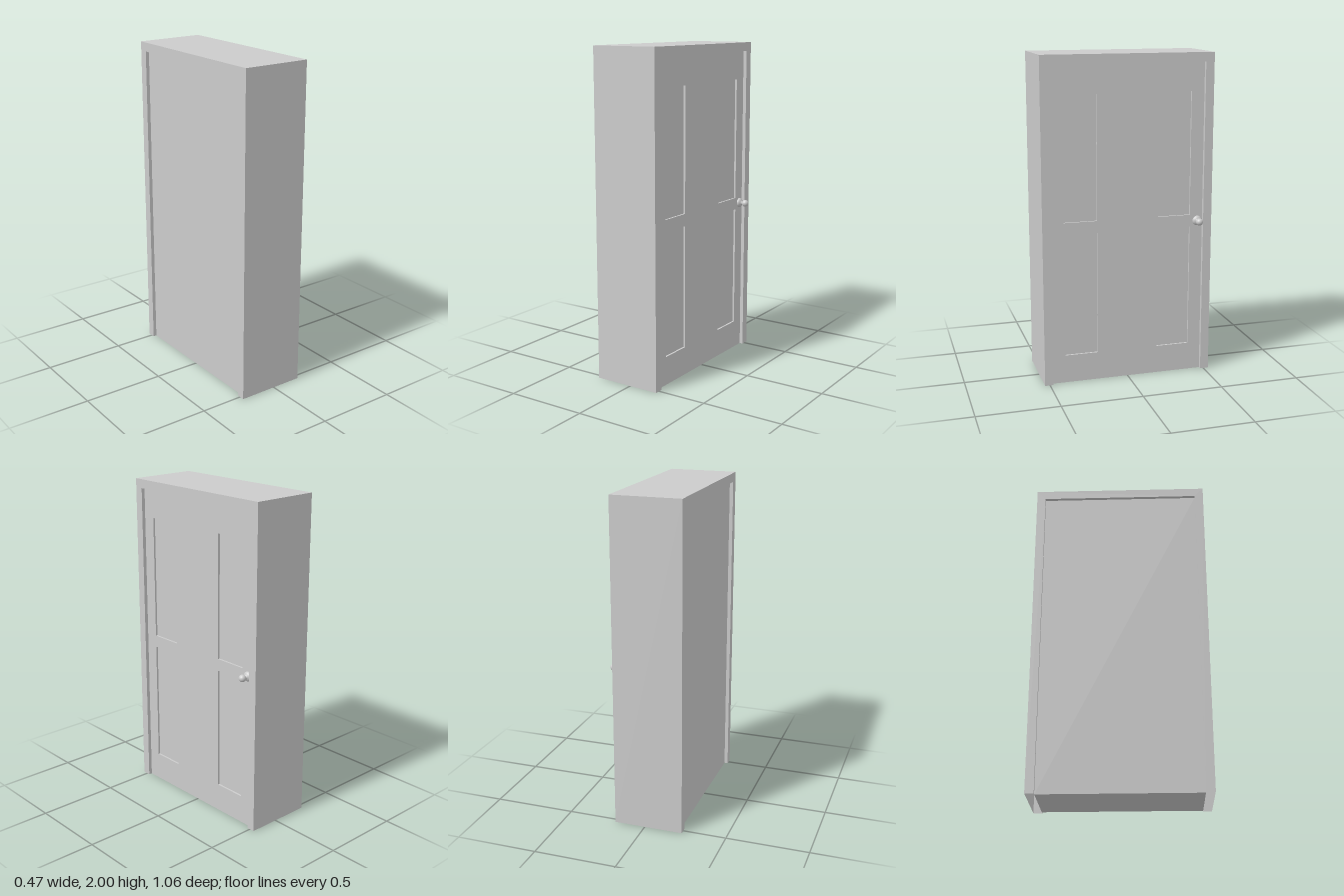
import * as THREE from 'three';

const grey = new THREE.MeshStandardMaterial({ color: 0xcccccc });
const thin = new THREE.MeshStandardMaterial({ color: 0xcccccc, side: THREE.DoubleSide, flatShading: true });

// Main dimensions
const BACK = -0.235, FRONT = 0.19;         // frame faces along x
const HALF = 0.531, INNER = 0.478;         // outer and inner half width along z
const TOP = 2, INNER_TOP = 1.945;
const RECESS = 0.022, PANEL_DEPTH = 0.012;
const DOOR_BACK = BACK + RECESS, DOOR_FRONT = FRONT - RECESS;

function part(name, geometry, material = grey) {
  const mesh = new THREE.Mesh(geometry, material);
  mesh.name = name;
  return mesh;
}

// Rectangular section swept up, across and down, with mitred corners and open feet
function frameGeometry() {
  const stations = [[1, 0, 0], [1, TOP, INNER_TOP], [-1, TOP, INNER_TOP], [-1, 0, 0]];
  const rings = stations.map(([s, outerY, innerY]) => [
    [BACK, outerY, s * HALF],
    [FRONT, outerY, s * HALF],
    [FRONT, innerY, s * INNER],
    [BACK, innerY, s * INNER],
  ]);
  const pos = [];
  for (let i = 0; i < 3; i++) {
    for (let j = 0; j < 4; j++) {
      const k = (j + 1) % 4;
      const a = rings[i][j], b = rings[i][k], c = rings[i + 1][k], d = rings[i + 1][j];
      pos.push(...a, ...b, ...c, ...a, ...c, ...d);
    }
  }
  const g = new THREE.BufferGeometry();
  g.setAttribute('position', new THREE.Float32BufferAttribute(pos, 3));
  g.computeVertexNormals();
  return g;
}

function rectangle(target, x0, y0, x1, y1) {
  target.moveTo(x0, y0);
  target.lineTo(x1, y0);
  target.lineTo(x1, y1);
  target.lineTo(x0, y1);
  target.closePath();
  return target;
}

export function createModel() {
  const group = new THREE.Group();
  group.name = 'door';

  group.add(part('doorFrame', frameGeometry(), thin));

  // Door body, flat on the back
  const coreFront = DOOR_FRONT - PANEL_DEPTH;
  const core = part('doorCore', new THREE.BoxGeometry(coreFront - DOOR_BACK, INNER_TOP, INNER * 2));
  core.position.set((coreFront + DOOR_BACK) / 2, INNER_TOP / 2, 0);
  group.add(core);

  // Face layer with four openings that form the sunken panels
  const face = rectangle(new THREE.Shape(), -INNER, 0, INNER, INNER_TOP);
  for (const x of [-0.398, 0.191]) {
    for (const y of [0.175, 1.01]) {
      face.holes.push(rectangle(new THREE.Path(), x, y, x + 0.207, y + 0.76));
    }
  }
  const faceGeometry = new THREE.ExtrudeGeometry(face, { depth: PANEL_DEPTH, bevelEnabled: false });
  faceGeometry.rotateY(Math.PI / 2);
  const faceLayer = part('panelledFace', faceGeometry);
  faceLayer.position.x = coreFront;
  group.add(faceLayer);

  // Knob: domed rose, neck and ball turned around x
  const knob = new THREE.Group();
  knob.name = 'doorKnob';
  const rose = [[0.03, 0], [0.029, 0.006], [0.025, 0.012], [0.018, 0.017], [0.01, 0.02], [0.009, 0.03]]
    .map(([r, h]) => new THREE.Vector2(r, h));
  knob.add(part('knobRose', new THREE.LatheGeometry(rose, 32)));
  const ball = part('knobBall', new THREE.SphereGeometry(0.022, 32, 20));
  ball.position.y = 0.045;
  knob.add(ball);
  knob.rotation.z = -Math.PI / 2;
  knob.position.set(DOOR_FRONT, 0.972, -0.446);
  group.add(knob);

  return group;
}
